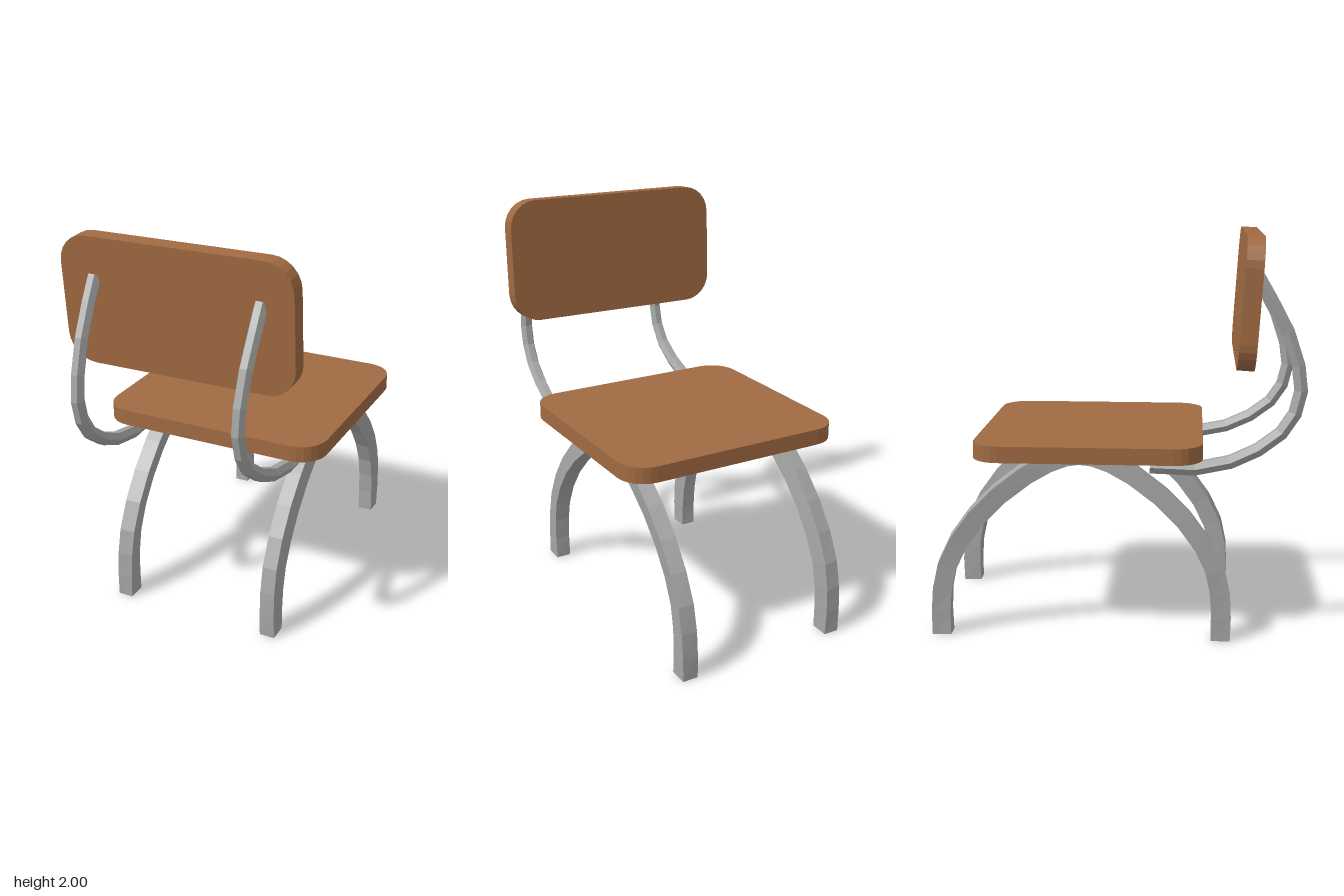
import * as THREE from 'three';

const wood = new THREE.MeshStandardMaterial({ color: 0xa06a42 });
wood.name = 'brown wood';
const steel = new THREE.MeshStandardMaterial({ color: 0xa4a6a4 });
steel.name = 'grey steel';

// Sweeps a [u, v] section along a path lying near the yz plane, with caps and flat facets.
function sweep(points, section, twist = () => 0) {
  const pos = [], index = [], n = section.length, last = points.length - 1;
  points.forEach((p, i) => {
    const a = points[Math.max(i - 1, 0)], b = points[Math.min(i + 1, last)];
    const len = Math.hypot(b.y - a.y, b.z - a.z);
    const ty = (b.y - a.y) / len, tz = (b.z - a.z) / len;
    const angle = twist(i / last), c = Math.cos(angle), s = Math.sin(angle);
    for (const [u, v] of section) {
      const x = u * c - v * s, m = u * s + v * c;
      pos.push(p.x + x, p.y + m * tz, p.z - m * ty);
    }
  });
  for (let i = 0; i < last; i++) {
    for (let j = 0; j < n; j++) {
      const k = (j + 1) % n, a = i * n, d = a + n;
      index.push(a + j, a + k, d + k, a + j, d + k, d + j);
    }
  }
  for (let j = 1; j < n - 1; j++) {
    index.push(0, j + 1, j);
    index.push(last * n, last * n + j, last * n + j + 1);
  }
  const g = new THREE.BufferGeometry();
  g.setAttribute('position', new THREE.Float32BufferAttribute(pos, 3));
  g.setIndex(index);
  const flat = g.toNonIndexed();
  flat.computeVertexNormals();
  return flat;
}

// Board with rounded corners, centred on the origin, thickness along z.
function board(w, h, t, r) {
  const x = w / 2, y = h / 2, s = new THREE.Shape();
  s.absarc(x - r, y - r, r, 0, Math.PI / 2);
  s.absarc(-x + r, y - r, r, Math.PI / 2, Math.PI);
  s.absarc(-x + r, -y + r, r, Math.PI, Math.PI * 1.5);
  s.absarc(x - r, -y + r, r, Math.PI * 1.5, Math.PI * 2);
  const g = new THREE.ExtrudeGeometry(s, { depth: t, bevelEnabled: false, curveSegments: 3 });
  return g.translate(0, 0, -t / 2);
}

function add(parent, name, geometry, material) {
  const mesh = new THREE.Mesh(geometry, material);
  mesh.name = name;
  parent.add(mesh);
  return mesh;
}

export function createModel() {
  const chair = new THREE.Group();
  chair.name = 'chair';

  const seat = add(chair, 'seat', board(1.17, 1.11, 0.08, 0.137), wood);
  seat.rotation.x = -Math.PI / 2;
  seat.position.set(0.005, 0.965, -0.127);

  // Backrest leans slightly and sits a touch askew
  const back = add(chair, 'backrest', board(1.172, 0.63, 0.083, 0.14), wood);
  back.rotation.set(0.06, -0.008, 0.01);
  back.position.set(-0.002, 1.677, 0.643);

  // Arched legs: half an arch as [distance from apex, height], then mirrored
  const half = [[0.698, 0], [0.698, 0.17], [0.672, 0.34], [0.58, 0.525],
    [0.43, 0.7], [0.245, 0.845], [0.1, 0.918]];
  const arch = [...half, [0, 0.936], ...half.map(([d, y]) => [-d, y]).reverse()];
  const bar = [[-0.039, -0.047], [0.039, -0.047], [0.039, 0.047], [-0.039, 0.047]];

  // Bent rods from under the seat up to the backrest, [x, y, z]
  const bend = [[0.434, 0.885, 0.175], [0.43, 0.877, 0.39], [0.426, 0.912, 0.56],
    [0.42, 0.972, 0.69], [0.415, 1.055, 0.8], [0.412, 1.15, 0.862], [0.41, 1.26, 0.888],
    [0.411, 1.38, 0.872], [0.415, 1.54, 0.818], [0.419, 1.69, 0.737], [0.42, 1.795, 0.675]];
  const hexagon = [...Array(6).keys()].map((i) => {
    const a = (i * Math.PI) / 3;
    return [0.033 * Math.cos(a), 0.036 * Math.sin(a)];
  });

  for (const [side, s] of [['left', 1], ['right', -1]]) {
    const curve = new THREE.CatmullRomCurve3(
      arch.map(([d, y]) => new THREE.Vector3(s * 0.41 + 0.005, y, d - 0.17)));
    const twist = (t) => -s * 0.14 * Math.sin(2 * Math.PI * t);
    add(chair, `${side}LegArch`, sweep(curve.getPoints(20), bar, twist), steel);

    const path = bend.map(([x, y, z]) => new THREE.Vector3(s * x, y, z));
    add(chair, `${side}BackSupport`, sweep(path, hexagon), steel);
  }
  return chair;
}
